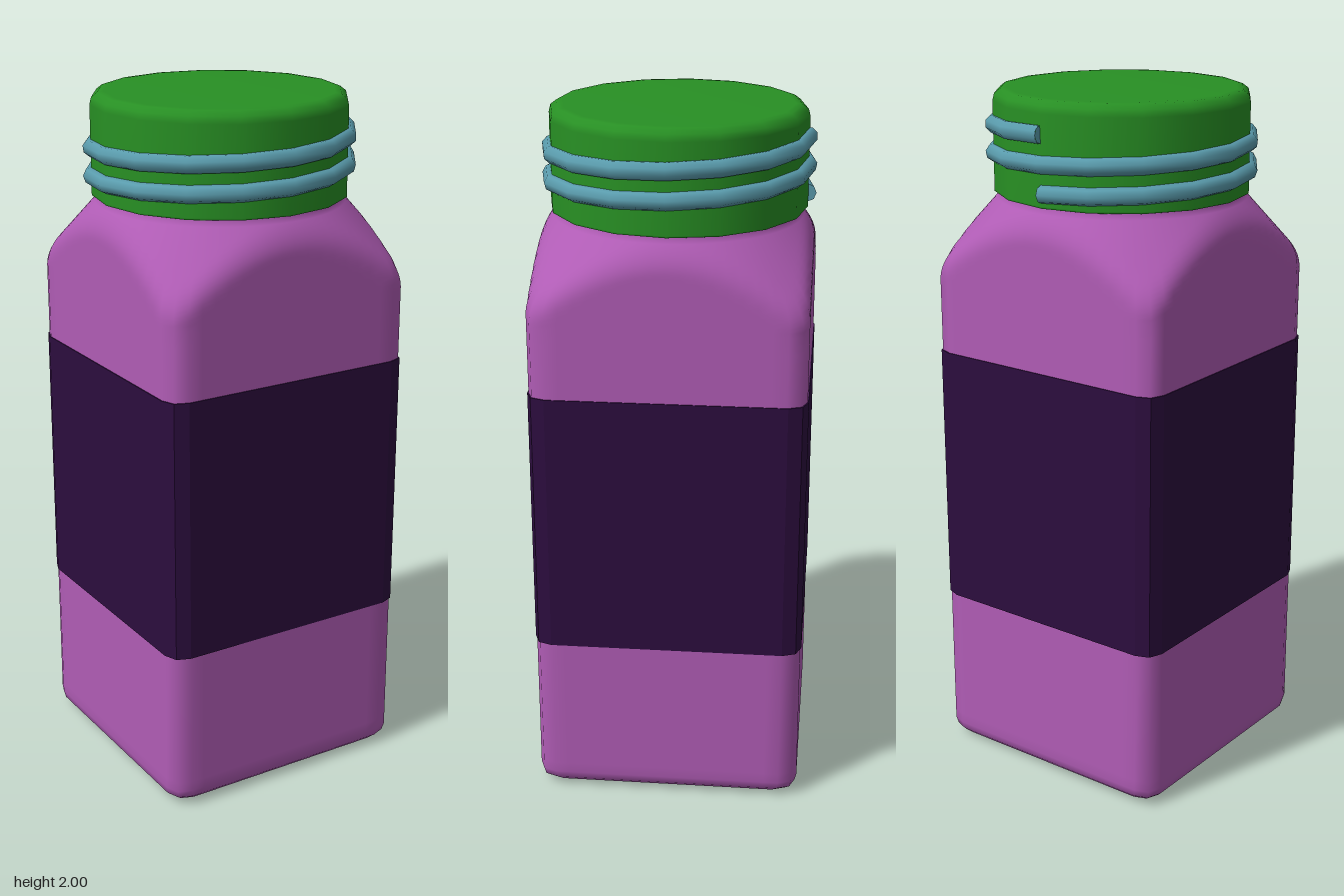
import * as THREE from 'three';

const HALF = 0.387, FLAT = 0.333, CORNER = 0.372;

function part(name, geometry, color) {
  const mesh = new THREE.Mesh(geometry, new THREE.MeshStandardMaterial({ color }));
  mesh.name = name;
  return mesh;
}

// Square outline with softened corners, running front -> +x -> back -> -x
function outline(steps) {
  const points = [];
  for (let side = 0; side < 4; side++) {
    const c = Math.round(Math.cos(side * Math.PI / 2)), s = Math.round(Math.sin(side * Math.PI / 2));
    const add = (x, z) => points.push([x * c + z * s, z * c - x * s]);
    for (let i = 0; i <= steps; i++) add(-FLAT + 2 * FLAT * i / steps, HALF);
    add(CORNER, CORNER);
  }
  return points;
}

// Joins rings of points, listed from the bottom up, into one smooth skin
function loft(rings) {
  const n = rings[0].length, index = [];
  for (let i = 0; i < rings.length - 1; i++) {
    for (let j = 0; j < n; j++) {
      const a = i * n + j, b = i * n + (j + 1) % n;
      index.push(a, b, b + n, a, b + n, a + n);
    }
  }
  const geometry = new THREE.BufferGeometry();
  geometry.setAttribute('position', new THREE.Float32BufferAttribute(rings.flat(2), 3));
  geometry.setIndex(index);
  geometry.computeVertexNormals();
  return geometry;
}

function smoothMin(a, b, k) {
  const h = Math.max(k - Math.abs(a - b), 0) / k;
  return Math.min(a, b) - h * h * k / 4;
}

// Square bottle whose cone-shaped shoulder cuts into the four walls
function bodyGeometry() {
  const base = outline(16);
  const scaled = (y, scale) => base.map(([x, z]) => [x * scale, y, z * scale]);
  const rings = [
    scaled(0, 0), scaled(0, 0.83), scaled(0.003, 0.87), scaled(0.012, 0.945),
    scaled(0.028, 0.987), scaled(0.05, 1), scaled(0.08, 1), scaled(1.4, 1),
  ];
  for (let i = 0; i <= 20; i++) {
    const y = 1.45 + 0.255 * i / 20;
    const cone = 0.345 + (1.705 - y) * 0.9;
    rings.push(base.map(([x, z]) => {
      const r = Math.hypot(x, z);
      const s = smoothMin(r, cone, 0.04) / r;
      return [x * s, y, z * s];
    }));
  }
  rings.push(rings.at(-1).map(([x, , z]) => [x, 1.73, z]));
  return loft(rings);
}

// Label band wrapped around the walls
function labelGeometry() {
  const shape = new THREE.Shape(outline(1).map(([x, z]) => new THREE.Vector2(x * 1.008, z * 1.008)));
  const geometry = new THREE.ExtrudeGeometry(shape, { depth: 0.765, bevelEnabled: false });
  return geometry.rotateX(-Math.PI / 2).translate(0, 0.485, 0);
}

// Two rising turns that start and end at the back
class Helix extends THREE.Curve {
  getPoint(t, target = new THREE.Vector3()) {
    const a = Math.PI + t * Math.PI * 4;
    return target.set(0.362 * Math.sin(a), 1.75 + 0.16 * t, 0.362 * Math.cos(a));
  }
}

export function createModel() {
  const model = new THREE.Group();
  model.name = 'bottle';
  model.add(part('body', bodyGeometry(), 0xb05cb5));
  model.add(part('label', labelGeometry(), 0x2c0d3e));

  // Sixteen-sided cap with a small rounded rim
  const profile = [
    [0, 1.71], [0.362, 1.71], [0.365, 1.711], [0.365, 1.716], [0.365, 1.965],
    [0.36, 1.985], [0.343, 1.998], [0.325, 2], [0, 2],
  ].map(([x, y]) => new THREE.Vector2(x, y));
  model.add(part('cap', new THREE.LatheGeometry(profile, 16), 0x289024));

  // Raised thread with flat ends
  const thread = new THREE.Group();
  thread.name = 'thread';
  const helix = new Helix();
  thread.add(part('threadCoil', new THREE.TubeGeometry(helix, 32, 0.026, 8), 0x5a9cad));
  for (const t of [0, 1]) {
    const end = part('threadEnd', new THREE.CircleGeometry(0.026, 8), 0x5a9cad);
    const out = helix.getTangent(t).multiplyScalar(t ? 1 : -1);
    end.position.copy(helix.getPoint(t));
    end.lookAt(end.position.clone().add(out));
    thread.add(end);
  }
  model.add(thread);
  return model;
}
